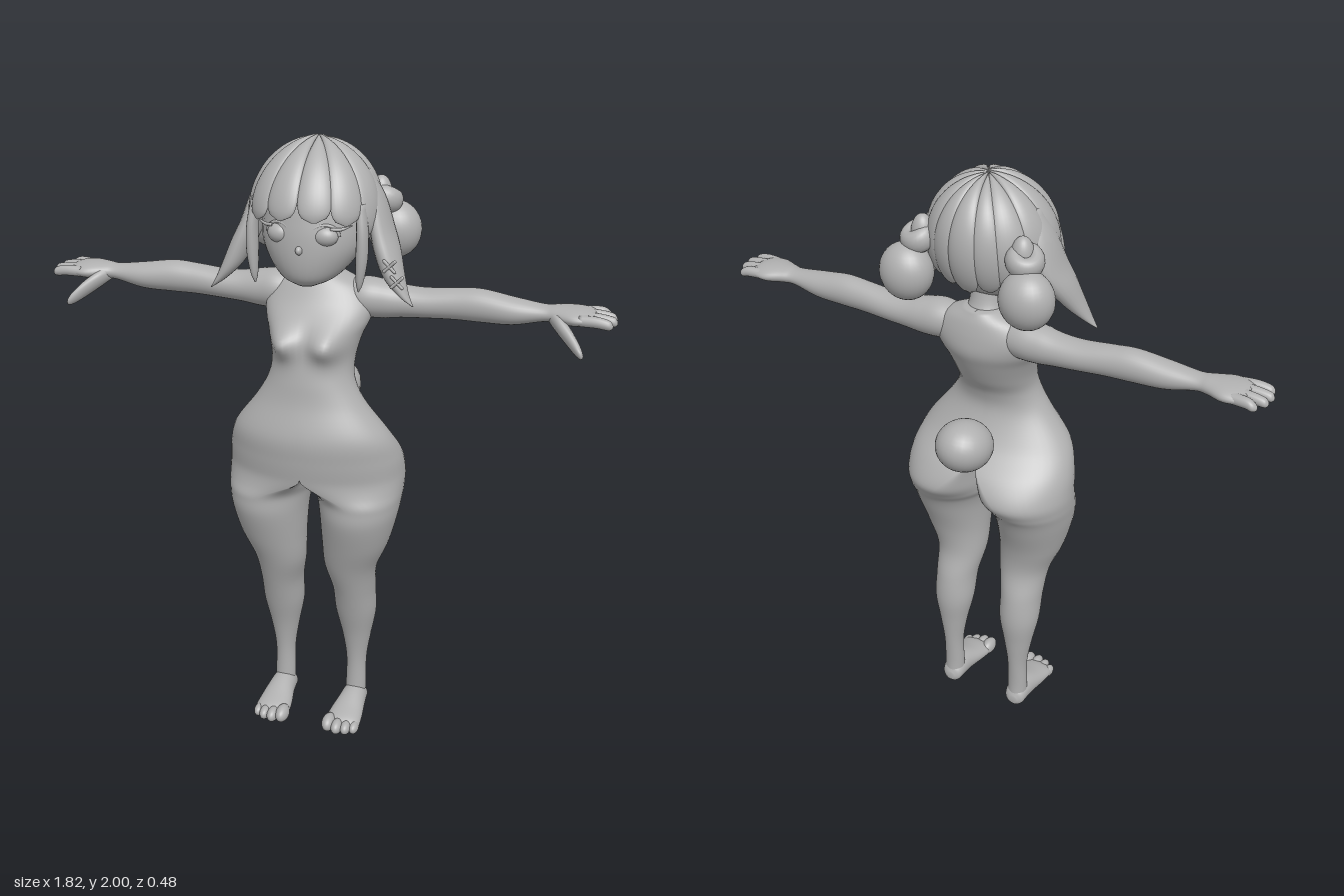
import * as THREE from 'three';

const V = (x, y, z) => new THREE.Vector3(x, y, z);
const X = V(1, 0, 0), Y = V(0, 1, 0), Z = V(0, 0, 1);
const { smoothstep, lerp } = THREE.MathUtils;
const curve = points => new THREE.CatmullRomCurve3(points, false, 'catmullrom');

// Closed tube of rings: f(t, angle) gives a point; both ends are capped
function rings(f, rows, sides) {
  const pos = [], idx = [];
  for (let i = 0; i <= rows; i++)
    for (let j = 0; j < sides; j++) pos.push(...f(i / rows, (j / sides) * Math.PI * 2).toArray());
  for (let i = 0; i < rows; i++)
    for (let j = 0; j < sides; j++) {
      const k = (j + 1) % sides, a = i * sides + j, b = i * sides + k;
      idx.push(a, b, a + sides, b, b + sides, a + sides);
    }
  for (const end of [0, 1]) {
    const c = V(0, 0, 0), n = pos.length / 3, base = end * rows * sides;
    for (let j = 0; j < sides; j++) c.add(V().fromArray(pos, (base + j) * 3));
    pos.push(...c.divideScalar(sides).toArray());
    for (let j = 0; j < sides; j++) {
      const a = base + j, b = base + ((j + 1) % sides);
      idx.push(n, end ? a : b, end ? b : a);
    }
  }
  const g = new THREE.BufferGeometry();
  g.setAttribute('position', new THREE.Float32BufferAttribute(pos, 3));
  g.setIndex(idx);
  g.computeVertexNormals();
  return g;
}

function flip(g) {
  const a = g.index.array;
  for (let i = 0; i < a.length; i += 3) [a[i], a[i + 1]] = [a[i + 1], a[i]];
  return g;
}

// Smooth loft through elliptical sections [cx, cy, cz, ru, rv] in the plane of u and v
function loft(list, u, v, sides = 32, steps = 5) {
  const c = curve(list.map(s => V(s[0], s[1], s[2])));
  const r = curve(list.map(s => V(s[3], s[4], 0)));
  const g = rings((t, a) => {
    const q = r.getPoint(t);
    return c.getPoint(t).addScaledVector(u, q.x * Math.cos(a)).addScaledVector(v, q.y * Math.sin(a));
  }, (list.length - 1) * steps, sides);
  const along = c.getPoint(1).sub(c.getPoint(0));
  if (along.dot(u.clone().cross(v)) < 0) flip(g).computeVertexNormals();
  return g;
}

// Left half of the body from neck to ankle, through sections [y, inner x, outer x, front z, back z].
// Sections are half ellipses in the trunk and turn into full ellipses down the leg.
function bodyHalf(list) {
  const inner = curve(list.map(s => V(s[1], s[0], s[3])));
  const outer = curve(list.map(s => V(s[2], s[4], 0)));
  const g = rings((t, a) => {
    const { x: xi, y, z: front } = inner.getPoint(t), { x: xo, y: back } = outer.getPoint(t);
    const c = Math.cos(a), s = Math.sin(a);
    const trunk = lerp(smoothstep(y, 0.87, 1.1), smoothstep(y, 0.86, 0.96), (1 + s) / 2);
    const x = Math.max(0, xi) + (xo - Math.max(0, xi)) * lerp((1 + c) / 2, Math.max(0, c), trunk);
    const chest = 0.06 * Math.max(0, s) * Math.exp(-(((x - 0.078) / 0.05) ** 2) - ((y - 1.395) / 0.048) ** 2);
    return V(x, y, (front + back) / 2 + s * (front - back) / 2 + chest);
  }, (list.length - 1) * 6, 48);
  // Level the normals where the two halves meet
  const p = g.attributes.position, n = g.attributes.normal;
  for (let i = 0; i < p.count; i++)
    if (p.getX(i) < 0.001 && Math.abs(n.getZ(i)) > 0.2) n.setX(i, 0);
  g.normalizeNormals();
  return g;
}

const ball = (x, y, z, rx, ry = rx, rz = rx) =>
  new THREE.SphereGeometry(1, 28, 20).scale(rx, ry, rz).translate(x, y, z);

// Rounded lock of hair lying on the skull, from the crown out to polar angle end
function strand(phi, half, end, lift) {
  return rings((t, a) => {
    const th = 0.03 + t * (end - 0.03);
    const w = half * Math.sqrt(Math.max(0.02, 1 - t ** 14));
    const p = phi + w * Math.cos(a);
    const k = lift + 0.07 * Math.sin(a) * Math.sqrt(Math.max(0.02, 1 - t ** 10));
    return V(Math.sin(th) * Math.sin(p) * 0.19 * k, 1.775 + Math.cos(th) * 0.207 * k,
      0.035 - 0.03 * Math.cos(th) + Math.sin(th) * Math.cos(p) * 0.19 * k);
  }, 24, 24);
}

export function createModel() {
  const model = new THREE.Group();
  model.name = 'figure';
  const grey = new THREE.MeshStandardMaterial({ color: 0xb0b0b0 });
  grey.name = 'plain grey';
  const add = (name, g) => {
    const m = new THREE.Mesh(g, grey);
    m.name = name;
    model.add(m);
  };
  const pair = (name, g) => {
    add(name + 'Left', g);
    add(name + 'Right', flip(g.clone().scale(-1, 1, 1)));
  };

  // Trunk and legs, neck and tail
  pair('body', bodyHalf([
    [1.585, 0, .055, .03, -.085], [1.55, 0, .13, .055, -.1], [1.5, 0, .17, .09, -.11], [1.45, 0, .167, .135, -.11],
    [1.4, 0, .147, .162, -.09], [1.33, 0, .132, .175, -.055], [1.27, 0, .138, .186, -.02], [1.2, 0, .175, .197, -.013],
    [1.1, 0, .25, .224, -.062], [1.02, 0, .282, .22, -.135], [.95, 0, .291, .21, -.162], [.9, 0, .291, .2, -.137],
    [.86, .014, .287, .198, -.11], [.8, .024, .277, .195, -.085], [.7, .03, .25, .165, -.05],
    [.6, .035, .21, .13, -.038], [.5, .055, .2, .095, -.062], [.4, .06, .198, .065, -.072],
    [.3, .08, .18, .037, -.061], [.2, .095, .165, .022, -.05], [.1, .095, .165, .022, -.043],
    [.03, .095, .165, .03, -.045],
  ]));
  add('neck', loft([[0, 1.48, -.035, .08, .07], [0, 1.55, -.02, .066, .062], [0, 1.6, 0, .054, .055],
    [0, 1.68, .02, .055, .06]], X, Z));
  add('tail', ball(0, 0, 0, .09, .084, .102).rotateX(.3).translate(0, 1.15, -.15));

  // Feet and toes
  pair('foot', loft([[.13, .03, -.05, .015, .015], [.13, .036, -.035, .035, .035], [.13, .046, 0, .042, .046],
    [.13, .044, .04, .047, .044], [.128, .034, .1, .057, .034], [.127, .026, .15, .06, .026],
    [.127, .021, .175, .045, .015]], X, Y));
  [[.084, .028, .165], [.116, .024, .175], [.146, .022, .17], [.172, .02, .158]].forEach(([x, r, z], i) =>
    pair('toe' + (i + 1), ball(x, r + .002, z, r * .82, r, r * 1.4)));

  // Arms, hands and fingers
  pair('arm', loft([[.07, 1.505, -.025, .05, .05], [.14, 1.507, -.025, .063, .064], [.2, 1.504, -.028, .06, .06],
    [.26, 1.502, -.03, .051, .054], [.33, 1.503, -.03, .047, .051], [.42, 1.51, -.028, .049, .047],
    [.5, 1.513, -.025, .051, .048], [.6, 1.508, -.02, .042, .047], [.69, 1.512, -.018, .026, .037],
    [.73, 1.514, -.018, .026, .046], [.78, 1.514, -.018, .027, .068], [.82, 1.514, -.018, .023, .066],
    [.845, 1.514, -.018, .014, .056]], Y, Z));
  [[-.07, .885], [-.035, .905], [0, .91], [.034, .9]].forEach(([z, tip], i) =>
    pair('finger' + (i + 1), loft([[.8, 1.514, z * .9, .017, .018], [.85, 1.515, z, .017, .017],
      [tip - .014, 1.51, z * 1.05, .015, .015], [tip - .003, 1.507, z * 1.05, .008, .008],
      [tip, 1.507, z * 1.05, .002, .002]], Y, Z, 16)));
  pair('thumb', loft([[.71, 1.51, -.005, .02, .02], [.74, 1.495, .02, .028, .03], [.775, 1.47, .05, .028, .028],
    [.803, 1.447, .075, .023, .023], [.82, 1.433, .09, .015, .015], [.828, 1.427, .095, .003, .003]], Y, Z, 18));

  // Head and face
  add('head', loft([[0, 1.578, .125, .03, .03], [0, 1.6, .102, .08, .083], [0, 1.64, .072, .122, .127],
    [0, 1.7, .052, .155, .15], [0, 1.77, .035, .16, .16], [0, 1.86, .02, .145, .15], [0, 1.94, .01, .08, .09],
    [0, 1.965, .01, .02, .02]], X, Z));
  pair('eye', ball(.068, 1.74, .164, .04, .031, .032));
  pair('upperLid', new THREE.TorusGeometry(.042, .006, 10, 24, Math.PI).scale(1, .8, 1).rotateY(.35)
    .translate(.069, 1.741, .174));
  pair('eyelash', loft([[.09, 1.765, .178, .005, .006], [.118, 1.763, .162, .005, .006],
    [.145, 1.772, .145, .002, .002]], Y, Z, 10));
  add('nose', ball(0, 1.7, .197, .011, .014, .018));
  add('upperLip', ball(0, 1.668, .186, .03, .006, .012));
  add('lowerLip', ball(0, 1.656, .182, .022, .007, .013));

  // Hair on the skull: fringe, sides and back
  add('hairCap', new THREE.SphereGeometry(1, 40, 20, 0, Math.PI * 2, 0, 1.3)
    .scale(.18, .2, .18).translate(0, 1.775, .015));
  pair('fringeInner', strand(.27, .28, 1.5, 1.03));
  pair('fringeOuter', strand(.78, .28, 1.56, 1.03));
  pair('hairSide', strand(1.32, .31, 1.75, 1.01));
  pair('hairRear', strand(1.84, .28, 1.95, 1));
  pair('hairBackOuter', strand(2.34, .28, 2.05, .99));
  pair('hairBackMiddle', strand(2.74, .22, 2.1, .985));
  add('hairBackCentre', strand(Math.PI, .24, 2.15, 1));

  // Hanging locks
  pair('sideLock', loft([[.13, 1.91, .015, .03, .03], [.175, 1.83, .015, .03, .058], [.203, 1.74, .025, .034, .074],
    [.225, 1.68, .045, .038, .068], [.255, 1.61, .075, .032, .045], [.29, 1.56, .093, .016, .022],
    [.32, 1.53, .1, .002, .003]], X, Z, 20));
  pair('frontLock', loft([[.16, 1.83, .11, .015, .025], [.17, 1.75, .125, .017, .028],
    [.17, 1.67, .13, .018, .025], [.165, 1.6, .132, .011, .015], [.162, 1.57, .133, .002, .002]], X, Z, 16));

  // Tied buns
  pair('bunBand', new THREE.TorusGeometry(.03, .028, 16, 28).rotateX(Math.PI / 2).scale(1, 1.3, 1)
    .rotateX(-.35).rotateZ(-.3).translate(.175, 1.8, -.1));
  pair('bunStem', ball(.165, 1.81, -.095, .035, .06, .035));
  pair('bun', ball(.2, 1.697, -.134, .085, .09, .075));

  // Crossed hairpins on the left lock
  for (const [x, y, z] of [[.25, 1.65, .115], [.275, 1.605, .12]])
    for (const turn of [-.8, .8])
      add('hairpin', new THREE.CapsuleGeometry(.005, .045, 4, 10).rotateZ(turn).translate(x, y, z));

  return model;
}
